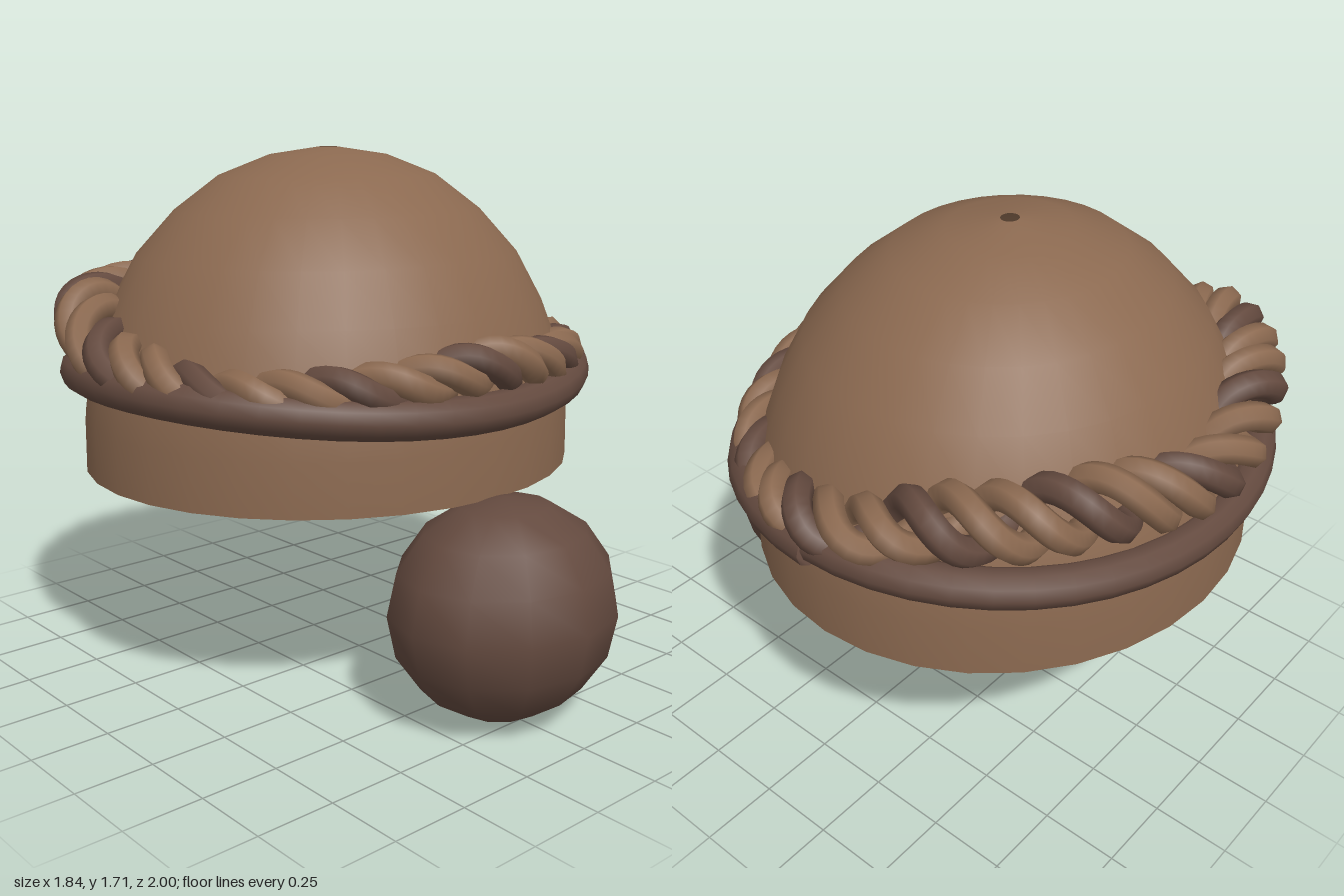
import * as THREE from 'three';

const CZ = -0.155; // the cap sits behind the ball

class PathCurve extends THREE.Curve {
  constructor(fn) { super(); this.fn = fn; }
  getPoint(t, target = new THREE.Vector3()) { return target.copy(this.fn(t)); }
}

// rope path every 30 degrees from front to back: height, girth scale, twist radius
const ROPE = [
  [1.08, 0.94, 0.045], [1.045, 0.95, 0.038], [1.025, 0.96, 0.038], [1.085, 0.97, 0.055],
  [1.19, 0.95, 0.07], [1.2, 0.925, 0.072], [1.14, 0.94, 0.06],
];

function ropeAt(a) {
  const back = Math.acos(Math.cos(a)) / (Math.PI / 6);
  const i = Math.min(5, Math.floor(back));
  const f = THREE.MathUtils.smoothstep(back - i, 0, 1);
  return ROPE[i].map((v, k) => THREE.MathUtils.lerp(v, ROPE[i + 1][k], f));
}

// point at angle a (0 = front, 90 degrees = left side) on the oval cap
function oval(a, rx, rz, y) {
  return new THREE.Vector3(Math.sin(a) * rx, y, CZ + Math.cos(a) * rz);
}

export function createModel() {
  const group = new THREE.Group();
  const tan = new THREE.MeshStandardMaterial({ color: 0x8b6950, side: THREE.DoubleSide });
  tan.name = 'light brown';
  const dark = new THREE.MeshStandardMaterial({ color: 0x644a3f, side: THREE.DoubleSide });
  dark.name = 'dark brown';

  const add = (name, geometry, material) => {
    const mesh = new THREE.Mesh(geometry, material);
    mesh.name = name;
    group.add(mesh);
    return mesh;
  };

  // hollow dome with a straight band below and a small hole at the crown
  const profile = [
    [0.84, 0.68], [0.838, 0.85], [0.82, 0.98], [0.795, 1.07], [0.74, 1.21], [0.65, 1.37],
    [0.52, 1.51], [0.37, 1.62], [0.2, 1.685], [0.03, 1.71],
  ].map(([x, y]) => new THREE.Vector2(x, y));
  const dome = add('dome', new THREE.LatheGeometry(profile, 32), tan);
  dome.scale.z = 0.78 / 0.84;
  dome.position.z = CZ;

  // rolled brim, raised at the sides, with a slight step where its ends meet
  const brim = new PathCurve((t) => {
    const a = Math.PI / 2 + t * Math.PI * 2;
    const c = Math.cos(a);
    const s = 0.985 + 0.015 * t;
    const y = 1.02 - (c > 0 ? 0.065 : 0.05) * c * c + (0.5 - t) * 0.012;
    return oval(a, 0.86 * s, 0.785 * s, y);
  });
  add('brim', new THREE.TubeGeometry(brim, 48, 0.06, 10, false), dark);

  // twisted rope of three strands resting above the brim
  const STRANDS = 3, TURNS = 12;
  for (let i = 0; i < STRANDS; i++) {
    const strand = new PathCurve((t) => {
      const a = t * Math.PI * 2;
      const [y, s, r] = ropeAt(a);
      const phase = -TURNS * a + (i / STRANDS) * Math.PI * 2;
      const out = Math.cos(phase) * r * 1.15;
      return oval(a, 0.84 * s + out, 0.78 * s + out, y + Math.sin(phase) * r);
    });
    add('ropeStrand' + (i + 1), new THREE.TubeGeometry(strand, 240, 0.045, 7, true), i === 0 ? dark : tan);
  }

  // round ball below the front
  const ball = add('ball', new THREE.SphereGeometry(1, 12, 8), dark);
  ball.scale.set(0.384, 0.347, 0.33);
  ball.position.set(0, 0.35, 0.67);

  return group;
}
